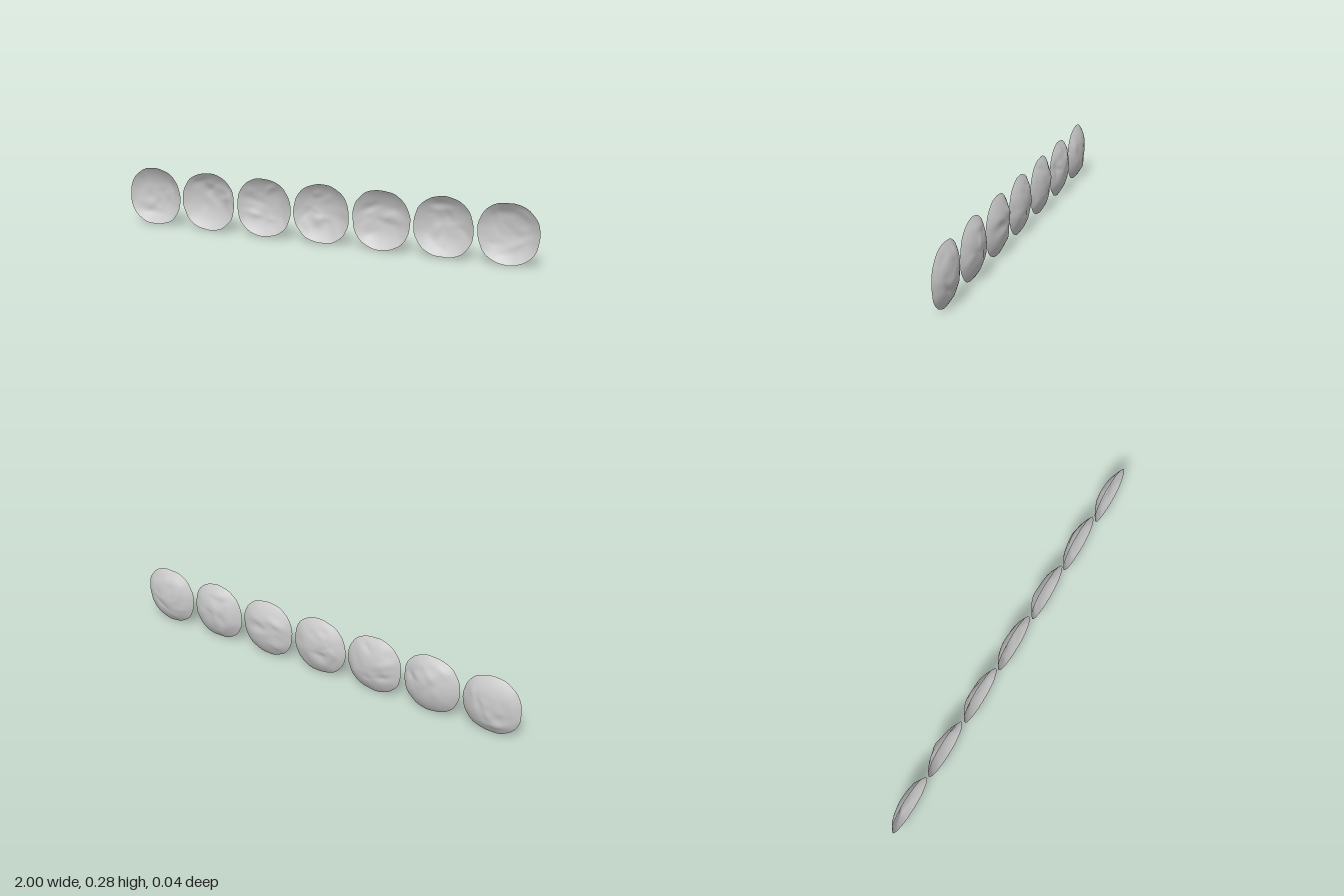
import * as THREE from 'three';
import { mergeVertices } from 'three/addons/utils/BufferGeometryUtils.js';

const COUNT = 7, PITCH = 0.288, RADIUS = 0.136, DEPTH = 0.039, RIM_Z = 0.022;

// Small seeded generator
function seeded(seed) {
  let s = seed * 7919 + 17;
  return () => (s = (s * 16807) % 2147483647) / 2147483647;
}

// Elongated dents and ridges scattered over the shell
function makeDents(rand) {
  return Array.from({ length: 16 }, () => {
    const angle = rand() * Math.PI * 2, dist = Math.sqrt(rand()) * 0.8;
    const turn = rand() * Math.PI;
    return {
      x: Math.cos(angle) * dist, y: Math.sin(angle) * dist,
      c: Math.cos(turn), s: Math.sin(turn),
      long: 0.2 + rand() * 0.25, wide: 0.09 + rand() * 0.1,
      height: (rand() - 0.5) * 0.009,
    };
  });
}

// Shallow hammered dish, open towards +z
function dishGeometry(seed) {
  const rand = seeded(seed);
  for (let i = 0; i < 5; i++) rand();
  const dents = makeDents(rand);
  if (seed === 4) dents.push({ x: -0.2, y: -0.3, c: 1, s: 0, long: 0.2, wide: 0.2, height: 0.008 });
  const phase = [rand(), rand(), rand()].map((v) => v * Math.PI * 2);

  const geo = new THREE.RingGeometry(0, 1, 72, 22);
  const pos = geo.attributes.position;
  for (let i = 0; i < pos.count; i++) {
    const x = pos.getX(i), y = pos.getY(i);
    const r = Math.min(1, Math.hypot(x, y)), a = Math.atan2(y, x);
    // Slightly squared, uneven outline
    const squared = (Math.abs(Math.cos(a)) ** 2.2 + Math.abs(Math.sin(a)) ** 2.2) ** (-1 / 2.2);
    const wave = 0.008 * Math.sin(3 * a + phase[0]) + 0.006 * Math.sin(7 * a + phase[1])
      + 0.004 * Math.sin(13 * a + phase[2]);
    const scale = RADIUS * squared * (1 + wave * r);
    // Domed section, with the dents fading out at the rim
    let z = RIM_Z - DEPTH * (1 - r ** 2.5);
    const fade = Math.min(1, (1 - r) * 4);
    for (const d of dents) {
      const u = ((x - d.x) * d.c + (y - d.y) * d.s) / d.long;
      const v = ((y - d.y) * d.c - (x - d.x) * d.s) / d.wide;
      z += d.height * fade * Math.exp(-u * u - v * v);
    }
    pos.setXYZ(i, x * scale, y * scale, Math.max(z, -0.021));
  }
  // Weld the seam for smooth normals
  geo.deleteAttribute('uv');
  geo.deleteAttribute('normal');
  const welded = mergeVertices(geo, 1e-5);
  welded.computeVertexNormals();
  return welded;
}

export function createModel() {
  const group = new THREE.Group();
  group.name = 'dishRow';
  const material = new THREE.MeshStandardMaterial({ color: 0xcccccc, side: THREE.DoubleSide });
  for (let i = 0; i < COUNT; i++) {
    const dish = new THREE.Mesh(dishGeometry(i + 1), material);
    dish.name = `dish${i + 1}`;
    dish.position.set((i - (COUNT - 1) / 2) * PITCH, 0.139, 0);
    group.add(dish);
  }
  return group;
}
